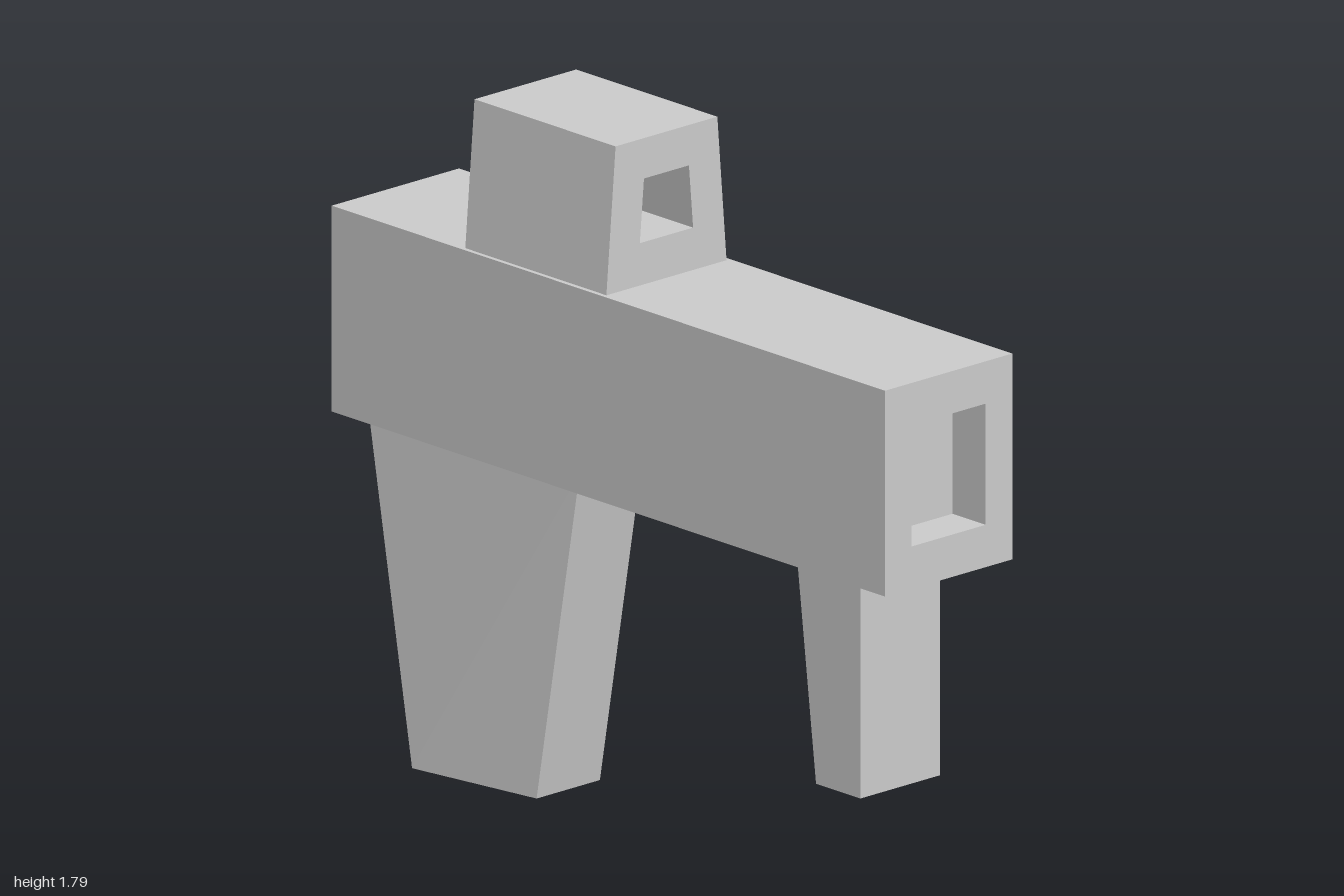
import * as THREE from 'three';

const material = new THREE.MeshStandardMaterial({ color: 0xcccccc, flatShading: true, side: THREE.DoubleSide });

function part(name, geometry) {
  const mesh = new THREE.Mesh(geometry, material);
  mesh.name = name;
  return mesh;
}

// Symmetric trapezoid in the xy plane
function trapezoid(target, bottomHalf, topHalf, y0, y1) {
  target.moveTo(-bottomHalf, y0);
  target.lineTo(bottomHalf, y0);
  target.lineTo(topHalf, y1);
  target.lineTo(-topHalf, y1);
  target.closePath();
  return target;
}

// Trapezoid with a trapezoid opening, extruded from z0 to z1
function frame(outer, hole, z0, z1) {
  const shape = trapezoid(new THREE.Shape(), ...outer);
  shape.holes.push(trapezoid(new THREE.Path(), ...hole));
  return new THREE.ExtrudeGeometry(shape, { depth: z1 - z0, bevelEnabled: false }).translate(0, 0, z0);
}

// Box whose front and back planes slope and whose front and back widths differ
function taperedLeg({ y0, y1, frontTop, frontBottom, backTop, backBottom, frontHalf, backHalf }) {
  const geometry = new THREE.BoxGeometry(2, 1, 1);
  const p = geometry.attributes.position;
  for (let i = 0; i < p.count; i++) {
    const top = p.getY(i) > 0, front = p.getZ(i) > 0;
    const z = front ? (top ? frontTop : frontBottom) : (top ? backTop : backBottom);
    p.setXYZ(i, p.getX(i) * (front ? frontHalf : backHalf), top ? y1 : y0, z);
  }
  geometry.computeVertexNormals();
  return geometry;
}

export function createModel() {
  const group = new THREE.Group();
  group.name = 'model';

  // Long body with a shallow rectangular recess in the front end
  const bottom = 0.88, top = 1.415, half = 0.215, recessFloor = 0.88;
  const body = new THREE.Group();
  body.name = 'body';
  const length = recessFloor + 1;
  body.add(
    part('bodyBlock', new THREE.BoxGeometry(half * 2, top - bottom, length)
      .translate(0, (top + bottom) / 2, -1 + length / 2)),
    part('frontRecessFrame', frame([half, half, bottom, top], [0.125, 0.125, 0.99, 1.305], recessFloor, 1)),
  );
  group.add(body);

  // Tapered upper block, open from front to back
  group.add(part('upperBlock', frame([0.203, 0.172, top, 1.795], [0.09, 0.076, 1.525, 1.69], -0.53, -0.02)));

  // Short front leg
  group.add(part('frontLeg', taperedLeg({
    y0: 0.295, y1: bottom, frontTop: 0.825, frontBottom: 0.825,
    backTop: 0.595, backBottom: 0.665, frontHalf: 0.135, backHalf: 0.135,
  })));

  // Tall rear leg, wider at the back
  group.add(part('rearLeg', taperedLeg({
    y0: 0, y1: bottom, frontTop: -0.22, frontBottom: -0.375,
    backTop: -0.915, backBottom: -0.76, frontHalf: 0.107, backHalf: 0.168,
  })));

  return group;
}
